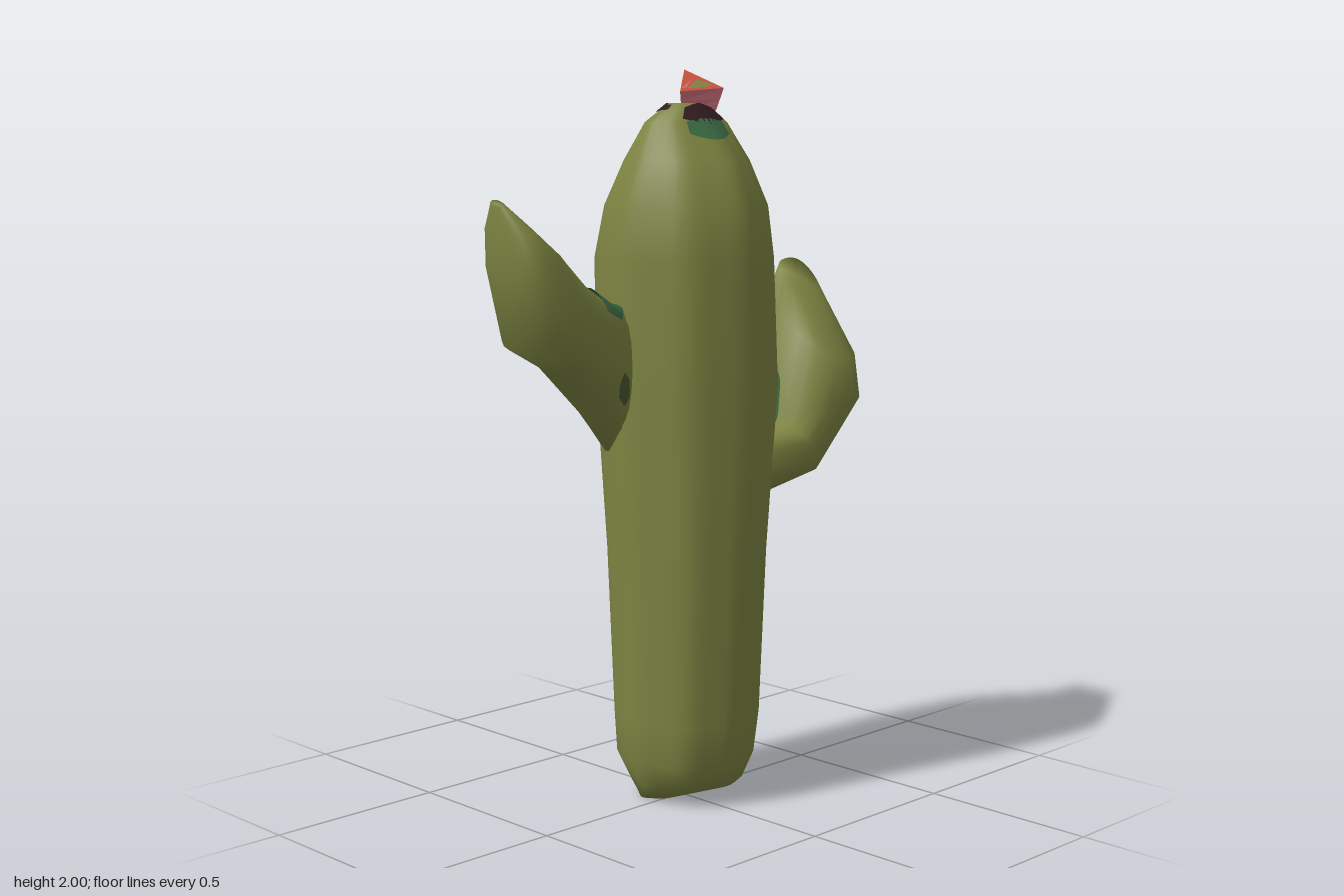
import * as THREE from 'three';

const V = (x, y, z) => new THREE.Vector3(x, y, z);
const rad = THREE.MathUtils.degToRad;

const paint = (name, color, side = THREE.FrontSide) => {
  const m = new THREE.MeshStandardMaterial({ color, side });
  m.name = name;
  return m;
};

// A section is a centre and two half axes; a body is a stack of sections.
// lobe makes shallow ribs, power below 1 makes the section boxier.
function pointOn(body, v, a, grow = 0) {
  const bend = (t) => Math.sign(t) * Math.abs(t) ** body.power;
  const f = 1 + body.lobe * Math.cos(8 * a);
  const at = (s) => s.c.clone()
    .addScaledVector(s.u, bend(Math.cos(a)) * (f + grow / s.u.length()))
    .addScaledVector(s.v, bend(Math.sin(a)) * (f + grow / s.v.length()));
  const i = Math.min(Math.floor(v), body.sections.length - 2);
  return at(body.sections[i]).lerp(at(body.sections[i + 1]), v - i);
}

function buildGeometry(points, index) {
  const g = new THREE.BufferGeometry().setFromPoints(points);
  if (index) g.setIndex(index);
  g.computeVertexNormals();
  return g;
}

// Closed skin over all the sections, with a cap at each end
function loft(body, sides) {
  const n = body.sections.length, pts = [], idx = [];
  for (let i = 0; i < n; i++)
    for (let j = 0; j < sides; j++) pts.push(pointOn(body, i, (j / sides) * Math.PI * 2));
  const first = pts.push(body.sections[0].c.clone()) - 1;
  const last = pts.push(body.sections[n - 1].c.clone()) - 1;
  for (let j = 0; j < sides; j++) {
    const k = (j + 1) % sides, top = (n - 1) * sides;
    for (let i = 0; i < n - 1; i++) {
      const p = i * sides + j, q = i * sides + k;
      idx.push(p, p + sides, q, q, p + sides, q + sides);
    }
    idx.push(first, j, k, last, top + k, top + j);
  }
  return buildGeometry(pts, idx);
}

// Thin colour patch lying on a body, narrower towards its ends
function patch(body, v0, v1, a0, a1) {
  const N = 10, pts = [], idx = [];
  for (let i = 0; i <= N; i++)
    for (let j = 0; j <= N; j++) {
      const t = j / N, taper = 0.55 + 0.45 * Math.sin(Math.PI * t);
      const v = (v0 + v1) / 2 + (i / N - 0.5) * (v1 - v0) * taper;
      pts.push(pointOn(body, v, rad(a0 + (a1 - a0) * t), 0.006));
    }
  for (let i = 0; i < N; i++)
    for (let j = 0; j < N; j++) {
      const p = i * (N + 1) + j, q = p + N + 1;
      idx.push(p, q, p + 1, p + 1, q, q + 1);
    }
  return buildGeometry(pts, idx);
}

// Arm section: two (z, y) outline points, centre x, half width, sideways tilt
const armBody = (rows) => ({
  lobe: 0,
  power: 0.8,
  sections: rows.map(([z0, y0, z1, y1, cx, hw, tilt]) => ({
    c: V(cx, (y0 + y1) / 2, (z0 + z1) / 2),
    u: V(hw, tilt, 0),
    v: V(0, (y0 - y1) / 2, (z0 - z1) / 2),
  })),
});

export function createModel() {
  const group = new THREE.Group();
  group.name = 'cactus';
  const green = paint('cactusGreen', 0x7e8542);
  const teal = paint('tealGreen', 0x3c6d45, THREE.DoubleSide);
  const olive = paint('darkOlive', 0x4c5832, THREE.DoubleSide);
  const dark = paint('darkMaroon', 0x321c20, THREE.DoubleSide);
  const pink = paint('petalPink', 0xd0707c, THREE.DoubleSide);
  const red = paint('petalRed', 0xc9533f, THREE.DoubleSide);

  const add = (name, geometry, material) => {
    const mesh = new THREE.Mesh(geometry, material);
    mesh.name = name;
    group.add(mesh);
  };

  // Trunk: height, then x and z extents
  const trunk = {
    lobe: 0.02,
    power: 1,
    sections: [
      [0, -0.12, 0.02, -0.14, 0.1],
      [0.05, -0.165, 0.15, -0.18, 0.13],
      [0.12, -0.2, 0.18, -0.21, 0.16],
      [0.24, -0.205, 0.2, -0.215, 0.17],
      [0.7, -0.225, 0.22, -0.23, 0.185],
      [1.15, -0.25, 0.245, -0.262, 0.215],
      [1.5, -0.245, 0.24, -0.245, 0.22],
      [1.64, -0.2, 0.228, -0.22, 0.213],
      [1.76, -0.145, 0.165, -0.185, 0.165],
      [1.86, -0.075, 0.09, -0.14, 0.12],
      [1.91, -0.03, 0.045, -0.07, 0.045],
    ].map(([y, x0, x1, z0, z1]) => ({
      c: V((x0 + x1) / 2, y, (z0 + z1) / 2),
      u: V((x1 - x0) / 2, 0, 0),
      v: V(0, 0, (z1 - z0) / 2),
    })),
  };
  add('trunk', loft(trunk, 48), green);

  // Front arm, rising to a point
  const frontArm = armBody([
    [0.12, 0.92, 0.15, 1.36, -0.08, 0.08, 0.04],
    [0.27, 1.09, 0.26, 1.38, -0.05, 0.105, 0.03],
    [0.42, 1.22, 0.29, 1.41, -0.05, 0.12, 0],
    [0.53, 1.28, 0.35, 1.45, -0.055, 0.122, 0],
    [0.575, 1.48, 0.44, 1.54, -0.06, 0.115, -0.01],
    [0.58, 1.58, 0.51, 1.605, -0.07, 0.08, -0.01],
    [0.58, 1.65, 0.568, 1.665, -0.08, 0.025, -0.005],
  ]);
  add('frontArm', loft(frontArm, 24), green);

  // Back arm, bending upwards, its top sloping down to one side
  const backArm = armBody([
    [-0.14, 1.03, -0.15, 0.83, 0.07, 0.1, 0],
    [-0.28, 1.03, -0.38, 0.88, 0.07, 0.125, 0],
    [-0.285, 1.07, -0.572, 1.09, 0.07, 0.14, 0],
    [-0.345, 1.3, -0.545, 1.27, 0.07, 0.132, -0.08],
    [-0.42, 1.42, -0.53, 1.435, -0.005, 0.05, -0.045],
  ]);
  add('backArm', loft(backArm, 24), green);

  // Shaded patches around the joints
  add('frontArmPatch', patch(frontArm, 0.6, 2.6, -105, -30), teal);
  add('frontArmSidePatch', patch(frontArm, 0.72, 1.05, 14, 42), olive);
  add('backJointLeftPatch', patch(trunk, 4.75, 5.12, -68, -45), teal);
  add('backJointRightPatch', patch(trunk, 4.72, 5.08, -106, -84), teal);
  add('backJointLowerPatch', patch(trunk, 4.27, 4.45, -103, -55), teal);

  // Dark collar under the flower
  add('collarShade', patch(trunk, 8.55, 9.2, -26, 32), teal);
  add('collar', patch(trunk, 8.95, 10, -38, 38), dark);
  add('collarFront', patch(trunk, 9.55, 10, 75, 225), dark);

  // Flower: a tilted red petal on a flared pink cup
  const rim = [V(-0.06, 2, -0.07), V(0.03, 1.94, 0.035), V(0.055, 1.95, -0.105)];
  const foot = [V(-0.005, 1.9, -0.035), V(0.025, 1.89, 0.025), V(0.05, 1.89, -0.08)];
  const mid = rim.map((p, i) => foot[i].clone().lerp(p, 0.5));
  const band = (lo, hi, i, k) => buildGeometry([lo[i], lo[k], hi[k], lo[i], hi[k], hi[i]]);
  add('petal', buildGeometry(rim), red);
  for (let i = 0; i < 3; i++) {
    const k = (i + 1) % 3;
    add('cupUpper', band(mid, rim, i, k), i === 1 ? pink : red);
    add('cupLower', band(foot, mid, i, k), pink);
  }
  // Green heart and pink fleck lying on the petal
  const onPetal = (a, b, c) => V(0, 0.005, 0)
    .addScaledVector(rim[0], a).addScaledVector(rim[1], b).addScaledVector(rim[2], c);
  add('flowerHeart', buildGeometry([onPetal(0.4, 0.25, 0.35), onPetal(0.04, 0.8, 0.16), onPetal(0.04, 0.16, 0.8)]), green);
  add('flowerFleck', buildGeometry([onPetal(0.4, 0.4, 0.2), onPetal(0.05, 0.92, 0.03), onPetal(0.08, 0.78, 0.14)]), pink);

  return group;
}
